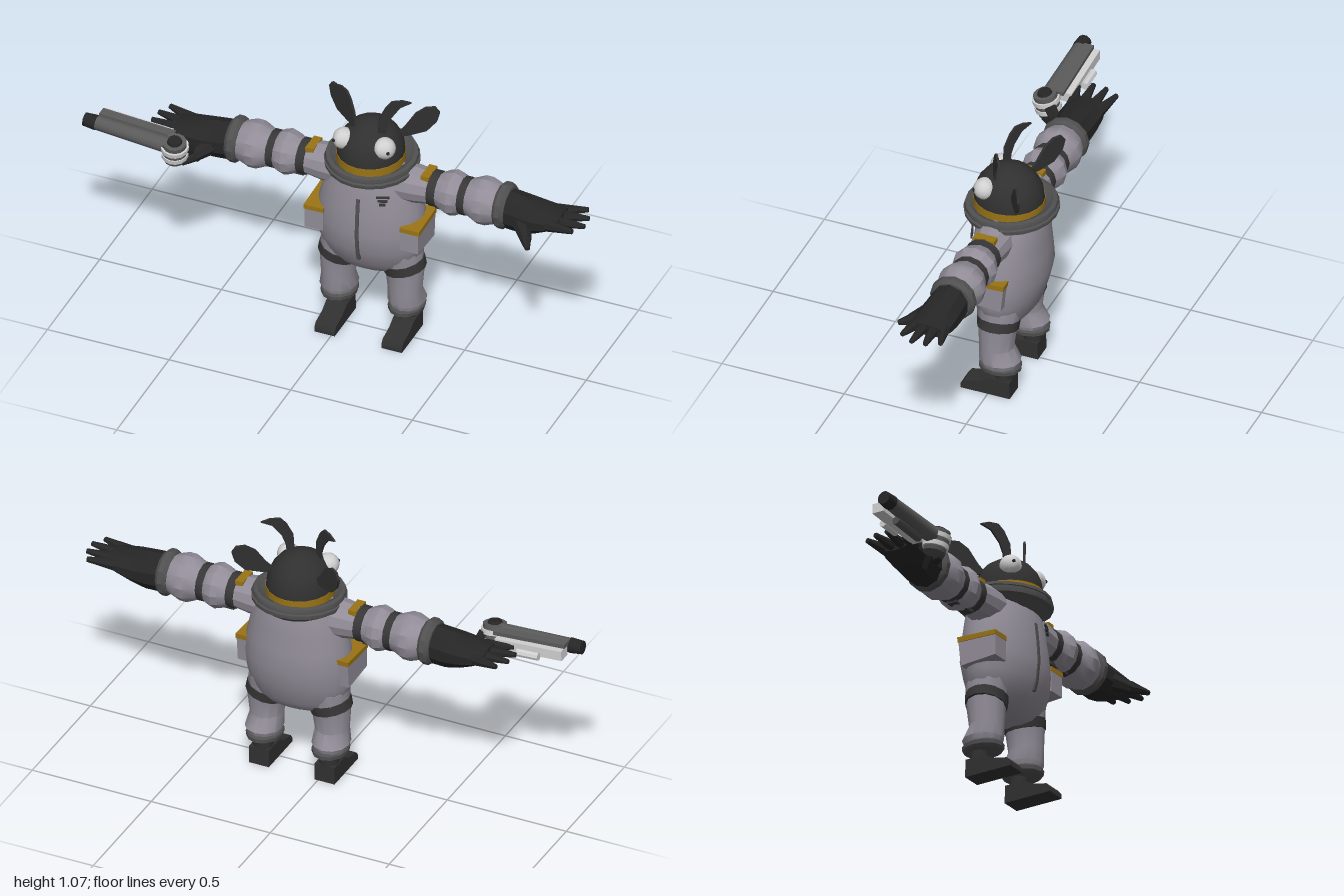
import * as THREE from 'three';
import { toCreasedNormals } from 'three/addons/utils/BufferGeometryUtils.js';

const mat = (name, color) => {
  const m = new THREE.MeshStandardMaterial({ color });
  m.name = name;
  return m;
};

export function createModel() {
  const suit = mat('suit lilac grey', 0x928d98);
  const fur = mat('dark fur', 0x303030);
  const glove = mat('glove black', 0x262626);
  const strap = mat('strap charcoal', 0x373737);
  const trim = mat('trim grey', 0x505050);
  const gold = mat('gold', 0x9a7415);
  const white = mat('white', 0xd0d0d0);
  const metal = mat('gun metal', 0x5a5a5a);

  const add = (parent, name, geo, material, crease = 0.7) => {
    const mesh = new THREE.Mesh(toCreasedNormals(geo, crease), material);
    mesh.name = name;
    parent.add(mesh);
    return mesh;
  };

  // Closed skin over elliptical rings [height, centreX, centreZ, radiusX, radiusZ]
  const loft = (rings, seg = 16) => {
    const first = rings[0], last = rings[rings.length - 1];
    const all = [[first[0], first[1], first[2], 0, 0], ...rings, [last[0], last[1], last[2], 0, 0]];
    const pos = [], idx = [];
    all.forEach(([y, cx, cz, rx, rz], i) => {
      for (let j = 0; j < seg; j++) {
        const a = (j / seg) * Math.PI * 2;
        pos.push(cx + rx * Math.cos(a), y, cz + rz * Math.sin(a));
        if (i < all.length - 1) {
          const p = i * seg + j, q = i * seg + ((j + 1) % seg);
          idx.push(p, p + seg, q, q, p + seg, q + seg);
        }
      }
    });
    const g = new THREE.BufferGeometry();
    g.setAttribute('position', new THREE.Float32BufferAttribute(pos, 3));
    g.setIndex(idx);
    return g;
  };

  // Same skin laid along x, rings [x, y, z, radiusY, radiusZ]
  const loftX = (rings, seg) =>
    loft(rings.map(([x, y, z, ry, rz]) => [x, -y, z, ry, rz]), seg).rotateZ(-Math.PI / 2);

  // Plate from an outline, thickness centred
  const plate = (pts, depth) =>
    new THREE.ExtrudeGeometry(new THREE.Shape(pts.map(([x, y]) => new THREE.Vector2(x, y))),
      { depth, bevelEnabled: false }).translate(0, 0, -depth / 2);
  // Outline given as [z, y], thickness along x
  const sidePlate = (pts, width) => plate(pts, width).rotateY(-Math.PI / 2);

  // Tapered rod between two points
  const rod = (a, b, r1, r2, seg = 7) => {
    const p = new THREE.Vector3(...a), d = new THREE.Vector3(...b).sub(p);
    const q = new THREE.Quaternion().setFromUnitVectors(new THREE.Vector3(0, 1, 0), d.clone().normalize());
    return new THREE.CylinderGeometry(r2, r1, d.length(), seg)
      .applyQuaternion(q).translate(p.x + d.x / 2, p.y + d.y / 2, p.z + d.z / 2);
  };
  const box = (x, y, z, w, h, d) => new THREE.BoxGeometry(w, h, d).translate(x, y, z);

  const model = new THREE.Group();
  model.name = 'suitedCreature';
  const body = new THREE.Group();
  body.name = 'body';
  body.position.x = 0.11;
  model.add(body);

  // Torso
  add(body, 'torso', loft([
    [0.287, 0, -0.025, 0.09, 0.045], [0.305, 0, -0.025, 0.15, 0.08], [0.345, 0, -0.025, 0.192, 0.108],
    [0.42, 0, -0.02, 0.213, 0.136], [0.5, 0, -0.025, 0.217, 0.15], [0.58, 0, -0.025, 0.209, 0.145],
    [0.66, 0, -0.027, 0.19, 0.138], [0.72, 0, -0.03, 0.173, 0.13], [0.765, 0, -0.03, 0.155, 0.12],
  ], 24), suit, 1.0);
  add(body, 'zipper', sidePlate([
    [0.08, 0.38], [0.109, 0.38], [0.12, 0.42], [0.129, 0.5], [0.124, 0.58], [0.115, 0.66], [0.08, 0.66],
  ], 0.014), trim);
  [0, 1, 2].forEach(i => {
    const bar = add(body, 'chestBar', new THREE.BoxGeometry(0.05 - i * 0.012, 0.008, 0.008), strap);
    bar.position.set(0.095, 0.685 - i * 0.015, 0.098 + i * 0.002);
    bar.rotation.y = 0.4;
  });

  // Collar ring, lower at the front
  const collar = add(body, 'collar', new THREE.LatheGeometry([
    [0.12, -0.055], [0.135, -0.055], [0.165, -0.03], [0.181, -0.022], [0.184, -0.005], [0.176, -0.002],
    [0.176, 0.004], [0.18, 0.006], [0.176, 0.019], [0.16, 0.022], [0.146, 0.01], [0.11, -0.005],
  ].map(p => new THREE.Vector2(...p)), 20), trim, 0.5);
  collar.position.set(0, 0.776, -0.023);
  collar.rotation.x = 0.06;

  // Head dome and gold neck band
  const hr = (y, k) => [y, 0, -0.013, 0.13 * k, 0.137 * k];
  add(body, 'neckBand', loft([hr(0.765, 1.015), hr(0.812, 1.015)], 20), gold);
  add(body, 'head', loft([hr(0.77, 1), hr(0.812, 1), hr(0.85, 0.96), hr(0.885, 0.85),
    hr(0.918, 0.66), hr(0.942, 0.38), hr(0.952, 0.12)], 20), fur, 1.0);

  // Paired parts, built for the left and mirrored for the right
  for (const s of [1, -1]) {
    const side = new THREE.Group();
    side.name = s > 0 ? 'leftSide' : 'rightSide';
    side.scale.x = s;
    body.add(side);

    // Ear and antenna are thin leaves turned outwards and back
    const ear = add(side, 'ear', plate([
      [0, 0.87], [0.05, 0.866], [0.12, 0.88], [0.16, 0.92], [0.172, 0.96], [0.155, 0.985],
      [0.12, 0.988], [0.08, 0.965], [0.04, 0.91],
    ], 0.01), fur);
    ear.position.set(0.08, 0, -0.055);
    ear.rotation.y = 0.556;
    const antenna = add(side, 'antenna', plate([
      [-0.005, 0.91], [0.025, 0.91], [0.03, 0.95], [0.045, 0.99], [0.08, 1.035], [0.125, 1.053],
      [0.09, 1.066], [0.05, 1.066], [0.025, 1.04], [0, 0.99],
    ], 0.009), fur);
    antenna.position.set(0.05, 0, 0.028);
    antenna.rotation.y = 0.556;

    // Eye
    const eye = add(side, 'eye', new THREE.SphereGeometry(0.043, 14, 10), white, 1.2);
    eye.position.set(0.084, 0.882, 0.053);
    const pupil = add(side, 'pupil', new THREE.SphereGeometry(0.007, 8, 6), glove);
    pupil.position.set(0.111, 0.885, 0.085);

    // Arm with two padded bulges
    const r = (x, k) => [x, 0.705, -0.015, k, k];
    add(side, 'sleeve', loftX([r(0.1, 0.08), r(0.19, 0.075), r(0.245, 0.067), r(0.285, 0.067), r(0.315, 0.083),
      r(0.34, 0.09), r(0.365, 0.083), r(0.39, 0.068), r(0.42, 0.078), r(0.455, 0.094), r(0.485, 0.094),
      r(0.54, 0.074)], 12), suit, 0.5);
    add(side, 'upperArmStrap', loftX([r(0.252, 0.071), r(0.285, 0.071)], 12), strap);
    add(side, 'elbowStrap', loftX([r(0.373, 0.075), r(0.408, 0.075)], 12), strap);
    add(side, 'underarmStrap', box(0.33, 0.636, -0.015, 0.12, 0.022, 0.04), strap);
    add(side, 'shoulderPatch', box(0.237, 0.76, -0.015, 0.034, 0.03, 0.085), gold);
    add(side, 'wristCuff', loftX([r(0.528, 0.082), r(0.54, 0.092), r(0.56, 0.092), r(0.574, 0.08)], 12), trim, 0.5);

    // Glove
    add(side, 'glove', loftX([[0.56, 0.7, -0.012, 0.08, 0.074], [0.63, 0.695, -0.01, 0.076, 0.078],
      [0.69, 0.698, -0.008, 0.062, 0.082], [0.74, 0.705, -0.01, 0.045, 0.08],
      [0.79, 0.712, -0.01, 0.025, 0.07]], 10), glove, 0.5);
    [[-0.06, -0.092, 0.86], [-0.025, -0.04, 0.885], [0.012, 0.015, 0.89], [0.045, 0.065, 0.86]]
      .forEach(([z0, z1, x]) => add(side, 'finger', rod([0.75, 0.708, z0], [x, 0.72, z1], 0.026, 0.01), glove));
    add(side, 'thumb', rod([0.63, 0.69, 0.03], [0.685, 0.66, 0.1], 0.038, 0.024), glove);
    add(side, 'thumbTip', rod([0.68, 0.662, 0.095], [0.71, 0.65, 0.145], 0.024, 0.01), glove);

    // Side pocket with gold flap
    add(side, 'pocket', sidePlate([[0.08, 0.45], [0.08, 0.545], [-0.087, 0.555], [-0.075, 0.44]], 0.075)
      .translate(0.196, 0, 0), suit);
    add(side, 'pocketFlap', sidePlate([[0.082, 0.533], [0.082, 0.552], [-0.089, 0.56], [-0.087, 0.539]], 0.08)
      .translate(0.197, 0, 0), gold);

    // Leg, thigh strap, cuff and boot
    add(side, 'leg', loft([[0.125, 0.14, -0.035, 0.062, 0.072], [0.155, 0.14, -0.035, 0.074, 0.082],
      [0.21, 0.137, -0.02, 0.066, 0.068], [0.3, 0.135, -0.024, 0.075, 0.076],
      [0.39, 0.118, -0.024, 0.085, 0.09]], 12), suit, 0.6);
    const thigh = add(side, 'thighStrap', loft([[-0.02, 0, 0, 0.083, 0.08], [0.02, 0, 0, 0.085, 0.084]], 14), strap);
    thigh.position.set(0.132, 0.316, -0.024);
    thigh.rotation.z = 0.25;
    add(side, 'trouserCuff', loft([[0.105, 0.138, -0.035, 0.06, 0.073], [0.114, 0.138, -0.035, 0.069, 0.084],
      [0.13, 0.138, -0.035, 0.071, 0.085], [0.14, 0.138, -0.035, 0.062, 0.076]], 12), trim, 0.5);
    add(side, 'ankle', loft([[0.05, 0.138, -0.052, 0.04, 0.038], [0.115, 0.138, -0.052, 0.037, 0.038]], 10), fur);
    add(side, 'boot', sidePlate([[-0.09, 0], [0.112, 0], [0.112, 0.018], [0.098, 0.036], [0.04, 0.048],
      [-0.005, 0.072], [-0.088, 0.072]], 0.084).translate(0.138, 0, 0), fur);
  }

  // Hand gun beside the right hand, muzzle towards -x
  const gun = new THREE.Group();
  gun.name = 'gun';
  model.add(gun);
  add(gun, 'barrel', rod([-0.64, 0.717, 0.143], [-0.985, 0.741, 0.143], 0.035, 0.028, 10), metal);
  add(gun, 'muzzle', rod([-0.95, 0.739, 0.143], [-1.0, 0.742, 0.143], 0.031, 0.027, 10), glove);
  const panel = add(gun, 'sidePanel', new THREE.BoxGeometry(0.28, 0.04, 0.05), white);
  panel.position.set(-0.81, 0.725, 0.085);
  panel.rotation.z = -0.07;
  const rail = add(gun, 'topRail', new THREE.BoxGeometry(0.3, 0.016, 0.04), metal);
  rail.position.set(-0.8, 0.752, 0.105);
  rail.rotation.z = -0.07;
  add(gun, 'sideCell', rod([-0.86, 0.715, 0.05], [-0.77, 0.71, 0.05], 0.016, 0.016, 8), white);
  add(gun, 'underCell', rod([-0.88, 0.7, 0.12], [-0.72, 0.69, 0.12], 0.016, 0.018, 8), trim);
  add(gun, 'grip', rod([-0.6, 0.71, 0.12], [-0.57, 0.635, 0.06], 0.026, 0.022, 6), glove);

  // Stacked drum of light and dark discs
  const drum = new THREE.Group();
  drum.name = 'drum';
  drum.position.set(-0.63, 0.705, 0.143);
  drum.rotation.set(0.2, 0, -0.07);
  gun.add(drum);
  [[-0.04, 0.044, trim], [-0.022, 0.052, white], [-0.004, 0.048, metal], [0.014, 0.054, white], [0.032, 0.046, metal]]
    .forEach(([y, rad, m]) =>
      add(drum, 'drumDisc', new THREE.CylinderGeometry(rad, rad, 0.018, 14).translate(0, y, 0), m));
  add(drum, 'drumCap', new THREE.CylinderGeometry(0.025, 0.03, 0.012, 12).translate(0, 0.046, 0), glove);

  return model;
}
